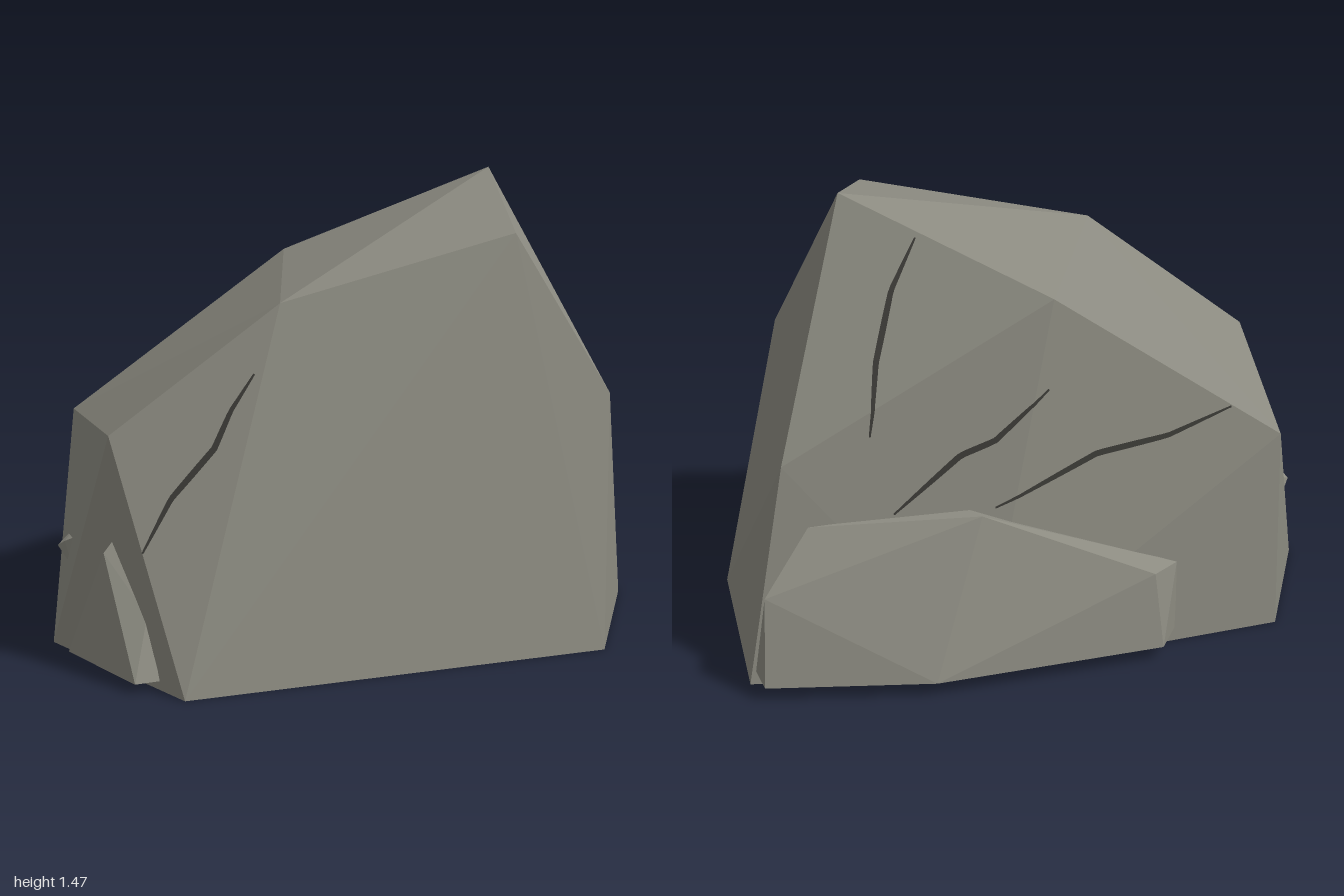
import * as THREE from 'three';
import { ConvexGeometry } from 'three/addons/geometries/ConvexGeometry.js';

const stone = new THREE.MeshStandardMaterial({ color: 0x8b8a80 });
stone.name = 'stone';
const crackDark = new THREE.MeshStandardMaterial({ color: 0x3b3a36, side: THREE.DoubleSide });
crackDark.name = 'dark crack';

// faceted chunk of stone spanning a few corner points
function chunk(name, corners) {
  const mesh = new THREE.Mesh(new ConvexGeometry(corners.map((c) => new THREE.Vector3(...c))), stone);
  mesh.name = name;
  return mesh;
}

// tapered ribbon laid on the body; path is in x,y and dir is +1 for front, -1 for back
function crack(name, body, path, dir) {
  const curve = new THREE.CurvePath();
  for (let i = 1; i < path.length; i++) {
    curve.add(new THREE.LineCurve(new THREE.Vector2(...path[i - 1]), new THREE.Vector2(...path[i])));
  }
  const ray = new THREE.Raycaster();
  const hits = [];
  const steps = 30;
  for (let i = 0; i <= steps; i++) {
    const p = curve.getPoint(i / steps);
    ray.set(new THREE.Vector3(p.x, p.y, 3 * dir), new THREE.Vector3(0, 0, -dir));
    const hit = ray.intersectObject(body)[0];
    if (hit) hits.push({ point: hit.point, normal: hit.face.normal.clone() });
  }
  const positions = [];
  const index = [];
  hits.forEach(({ point, normal }, i) => {
    const before = hits[Math.max(i - 1, 0)].point;
    const after = hits[Math.min(i + 1, hits.length - 1)].point;
    const side = after.clone().sub(before).cross(normal).normalize();
    const half = 0.003 + 0.007 * Math.sin((Math.PI * i) / (hits.length - 1));
    const centre = point.clone().addScaledVector(normal, 0.004);
    for (const s of [-1, 1]) positions.push(...centre.clone().addScaledVector(side, s * half).toArray());
    if (i > 0) {
      const k = 2 * i;
      index.push(k - 2, k - 1, k, k - 1, k + 1, k);
    }
  });
  const geometry = new THREE.BufferGeometry();
  geometry.setAttribute('position', new THREE.Float32BufferAttribute(positions, 3));
  geometry.setIndex(index);
  geometry.computeVertexNormals();
  const mesh = new THREE.Mesh(geometry, crackDark);
  mesh.name = name;
  return mesh;
}

export function createModel() {
  const model = new THREE.Group();
  model.name = 'boulder';

  // main boulder: seven-sided foot, then shoulders and peak
  const body = chunk('boulderBody', [
    [-0.78, 0, 0.66], [0.63, 0, 0.745], [0.97, 0, 0.23], [1, 0, -0.53],
    [0.27, 0, -0.645], [-0.76, 0, -0.53], [-0.995, 0, -0.02],
    [0.72, 0.81, 0.575], [0.86, 0.69, -0.42], [-0.77, 0.66, -0.48], [-0.89, 0.76, 0.29],
    [-0.36, 1.16, 0.405], [0.43, 1.335, 0.455], [0.6, 1.465, -0.09], [-0.02, 1.17, -0.42],
  ]);

  // slab leaning on the back
  const backSlab = chunk('backSlab', [
    [0.97, 0.045, -0.65], [0.44, 0.045, -0.75], [-0.32, 0.045, -0.69],
    [0.98, 0.045, -0.53], [-0.4, 0.045, -0.56],
    [0.95, 0.32, -0.58], [-0.3, 0.29, -0.65], [-0.4, 0.28, -0.56],
    [0.25, 0.52, -0.57], [0.3, 0.53, -0.5], [0.79, 0.5, -0.475],
  ]);

  // small shard on the right flank, and a pebble stuck beside it
  const sideShard = chunk('sideShard', [
    [-1, 0.03, 0.17], [-0.9, 0.03, 0.54], [-0.82, 0.03, 0.54], [-0.85, 0.03, 0.17],
    [-0.92, 0.39, 0.31], [-0.88, 0.43, 0.3], [-0.83, 0.22, 0.46], [-0.82, 0.36, 0.3],
  ]);
  const pebble = chunk('pebble', [
    [-0.9, 0.24, -0.14], [-0.92, 0.24, -0.02], [-0.9, 0.36, 0], [-0.87, 0.35, -0.14],
    [-0.955, 0.31, -0.08], [-0.94, 0.33, -0.05], [-0.84, 0.3, -0.07],
  ]);

  // surface cracks
  model.add(body, backSlab, sideShard, pebble,
    crack('frontCrack', body, [[-0.84, 0.42], [-0.74, 0.58], [-0.6, 0.73], [-0.54, 0.84], [-0.46, 0.95]], 1),
    crack('upperBackCrack', body, [[0.38, 1.34], [0.47, 1.19], [0.54, 0.985], [0.58, 0.77]], -1),
    crack('middleBackCrack', body, [[0.01, 0.89], [0.19, 0.74], [0.3, 0.7], [0.52, 0.525]], -1),
    crack('lowerBackCrack', body, [[-0.6, 0.77], [-0.38, 0.7], [-0.14, 0.67], [0.2, 0.53]], -1));
  return model;
}
